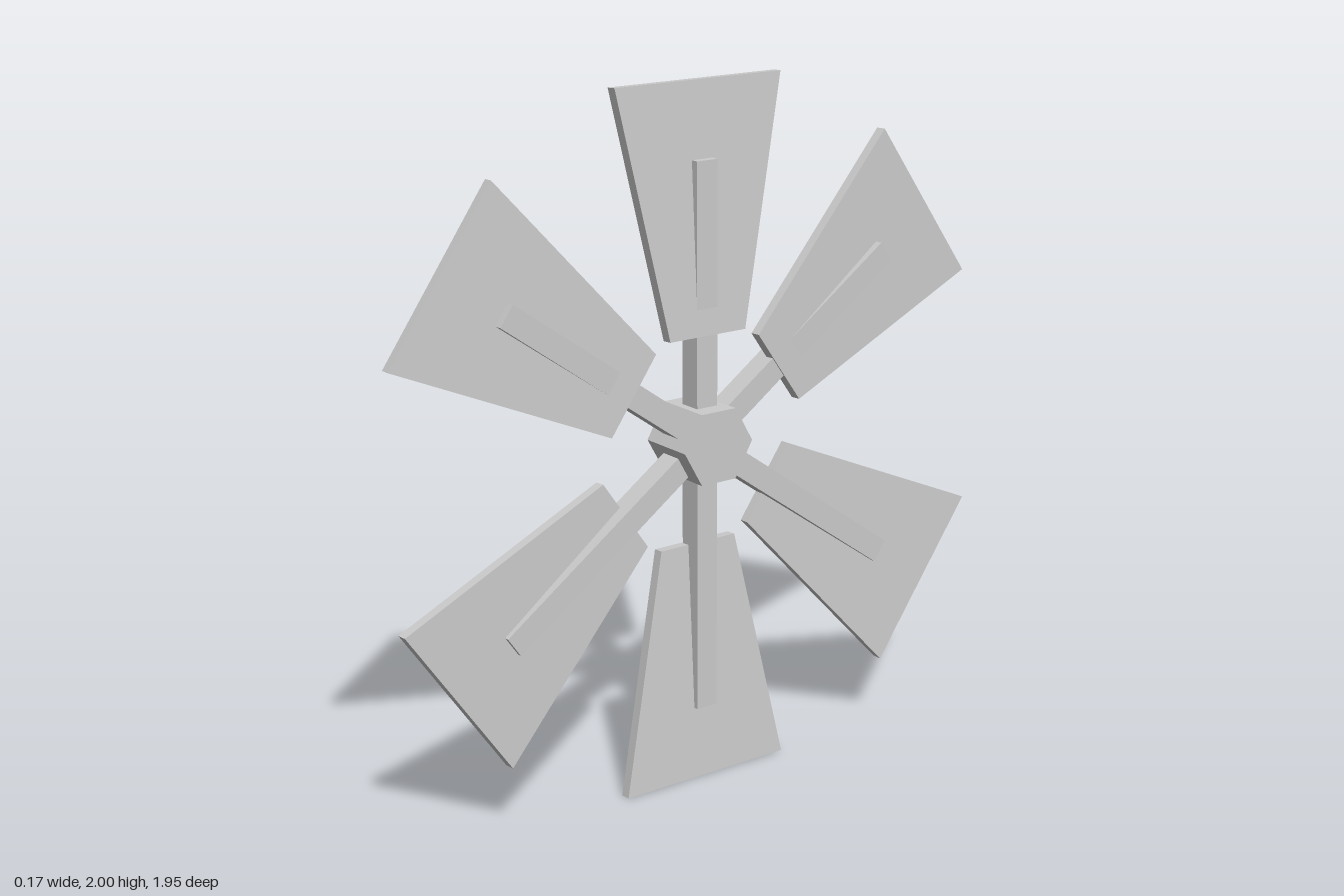
import * as THREE from 'three';

export function createModel() {
  const model = new THREE.Group();
  model.name = 'paddleWheel';
  const material = new THREE.MeshStandardMaterial({ color: 0xcccccc, flatShading: true });

  const mesh = (name, geometry, parent) => {
    const m = new THREE.Mesh(geometry, material);
    m.name = name;
    parent.add(m);
    return m;
  };

  const wheel = new THREE.Group();
  wheel.name = 'wheel';
  wheel.position.y = 1.0;
  model.add(wheel);

  // Hexagonal hub with its axis along x and corners to front and back
  const hub = new THREE.CylinderGeometry(0.116, 0.116, 0.174, 6).rotateZ(Math.PI / 2);
  hub.scale(1, 1.01, 1);
  mesh('hub', hub, wheel);

  // Tapered paddle board, leaning slightly across its spoke
  const inner = 0.304, outer = 1.0, thickness = 0.031, lean = 0.057;
  const half = (outer - inner) / 2;
  const outline = new THREE.Shape([
    new THREE.Vector2(-0.128, -half),
    new THREE.Vector2(0.128, -half),
    new THREE.Vector2(0.276, half),
    new THREE.Vector2(-0.276, half),
  ]);
  const paddle = new THREE.ExtrudeGeometry(outline, { depth: thickness, bevelEnabled: false });
  paddle.translate(0, 0, -thickness / 2).rotateY(Math.PI / 2);
  paddle.rotateZ(lean).translate(0.003, (inner + outer) / 2, 0);

  const spoke = new THREE.BoxGeometry(0.068, 1.576, 0.069);

  // Three through-spokes, each carrying a paddle at both ends
  const spread = THREE.MathUtils.degToRad(54.8);
  [-spread, 0, spread].forEach((angle, i) => {
    const arm = new THREE.Group();
    arm.name = `arm${i + 1}`;
    arm.rotation.x = angle;
    wheel.add(arm);
    mesh('spoke', spoke, arm);
    mesh('upperPaddle', paddle, arm);
    mesh('lowerPaddle', paddle, arm).rotation.z = Math.PI;
  });

  return model;
}
